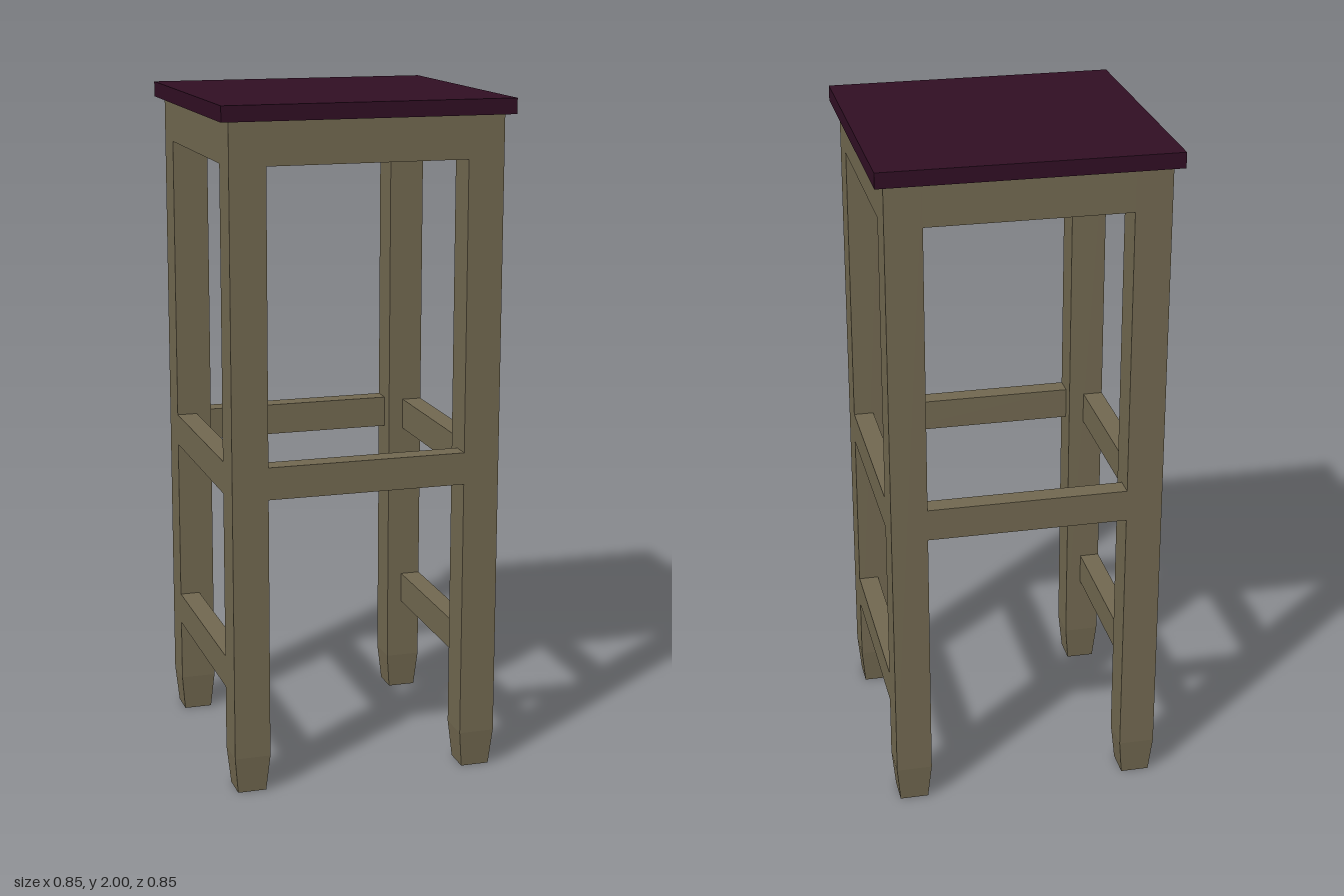
import * as THREE from 'three';

const wood = new THREE.MeshStandardMaterial({ color: 0x70674f });
wood.name = 'olive wood';
const plum = new THREE.MeshStandardMaterial({ color: 0x300e23 });
plum.name = 'dark plum';

const LEG = 0.106, OUT = 0.4, CENTRE = OUT - LEG / 2;
const APRON_BOTTOM = 1.83, SEAT_BOTTOM = 1.955, FOOT = 0.11;

// Box given by its width, depth and bottom/top heights
function slab(name, w, d, y0, y1, x, z, material = wood) {
  const mesh = new THREE.Mesh(new THREE.BoxGeometry(w, y1 - y0, d), material);
  mesh.position.set(x, (y0 + y1) / 2, z);
  mesh.name = name;
  return mesh;
}

// Square leg whose foot narrows towards the floor
function legGeometry() {
  const box = new THREE.BoxGeometry(LEG, SEAT_BOTTOM, LEG, 1, 2, 1);
  const p = box.attributes.position;
  for (let i = 0; i < p.count; i++) {
    const level = Math.round(p.getY(i) / (SEAT_BOTTOM / 2));
    p.setY(i, level < 0 ? 0 : level === 0 ? FOOT : SEAT_BOTTOM);
    if (level < 0) {
      p.setX(i, p.getX(i) * 0.8);
      p.setZ(i, p.getZ(i) * 0.8);
    }
  }
  const geo = box.toNonIndexed();
  geo.computeVertexNormals();
  return geo;
}

// Triangular corner block with two screw holes, right angle at the origin
function braceGeometry() {
  const s = new THREE.Shape();
  s.moveTo(0, 0);
  s.lineTo(0.27, 0);
  s.lineTo(0, 0.27);
  s.closePath();
  for (const [x, y] of [[0.16, 0.045], [0.045, 0.16]]) {
    const hole = new THREE.Path();
    hole.absarc(x, y, 0.011, 0, Math.PI * 2, true);
    s.holes.push(hole);
  }
  const geo = new THREE.ExtrudeGeometry(s, { depth: 0.06, bevelEnabled: false, curveSegments: 8 });
  return geo.rotateX(Math.PI / 2);
}

export function createModel() {
  const stool = new THREE.Group();
  stool.name = 'stool';

  stool.add(slab('seat', 0.852, 0.852, SEAT_BOTTOM, 2, 0, 0, plum));

  const legGeo = legGeometry();
  const braceGeo = braceGeometry();
  const corners = [[-1, -1], [1, -1], [1, 1], [-1, 1]];
  corners.forEach(([sx, sz], i) => {
    const leg = new THREE.Mesh(legGeo, wood);
    leg.position.set(sx * CENTRE, 0, sz * CENTRE);
    leg.name = 'leg';
    const brace = new THREE.Mesh(braceGeo, wood);
    brace.position.set(sx * 0.34, SEAT_BOTTOM, sz * 0.34);
    brace.rotation.y = -i * Math.PI / 2;
    brace.name = 'cornerBrace';
    stool.add(leg, brace);
  });

  // Aprons and rails lie flush with the outer faces of the legs
  const span = 2 * (OUT - LEG), thick = 0.06, edge = OUT - thick / 2;
  for (const s of [-1, 1]) {
    stool.add(
      slab('apron', span, thick, APRON_BOTTOM, SEAT_BOTTOM, 0, s * edge),
      slab('sideApron', thick, span, APRON_BOTTOM, SEAT_BOTTOM, s * edge, 0),
      slab('footRail', span, thick, 0.885, 0.98, 0, s * edge),
      slab('sideRail', thick, span, 0.885, 0.98, s * edge, 0),
      slab('lowerSideRail', thick, span, 0.297, 0.392, s * edge, 0)
    );
  }

  // Batten supporting the middle of the seat
  stool.add(slab('seatBatten', 0.68, 0.06, 1.895, SEAT_BOTTOM, 0, 0));
  return stool;
}
